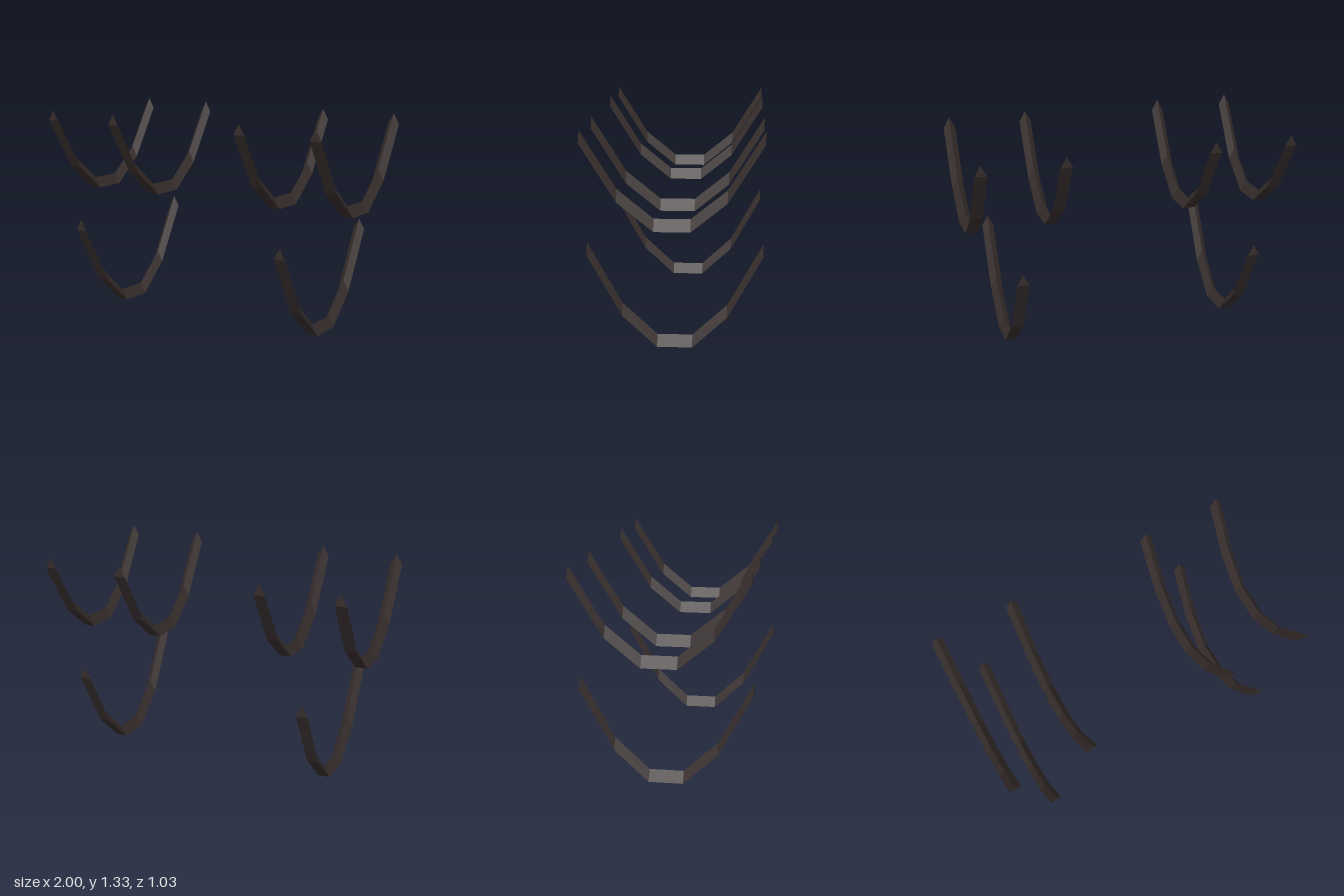
import * as THREE from 'three';

const HALF_WIDTH = 0.0375;
const HEIGHT = 0.068;

// Curved bar with a triangular section (flat underside, ridge on top),
// swept from front to back along [z, y] points of its underside.
function rungGeometry(halfPath) {
  const path = [...halfPath, ...halfPath.map(([z, y]) => [-z, y]).reverse()];
  const rings = path.map(([z, y]) => [
    [-HALF_WIDTH, y, z],
    [HALF_WIDTH, y, z],
    [0, y + HEIGHT, z],
  ]);
  const out = [];
  const tri = (a, b, c) => out.push(...a, ...b, ...c);

  for (let i = 0; i < rings.length - 1; i++) {
    const front = rings[i], back = rings[i + 1];
    for (let k = 0; k < 3; k++) {
      const n = (k + 1) % 3;
      tri(front[k], back[k], front[n]);
      tri(front[n], back[k], back[n]);
    }
  }
  // end caps
  const first = rings[0], last = rings[rings.length - 1];
  tri(first[0], first[1], first[2]);
  tri(last[2], last[1], last[0]);

  const geometry = new THREE.BufferGeometry();
  geometry.setAttribute('position', new THREE.Float32BufferAttribute(out, 3));
  geometry.computeVertexNormals();
  return geometry;
}

export function createModel() {
  const model = new THREE.Group();
  model.name = 'curvedBrackets';

  const darkBrown = new THREE.MeshStandardMaterial({ color: 0x352c2b });
  darkBrown.name = 'darkBrown';

  const upper = rungGeometry([[0.516, 1.262], [0.31, 0.932], [0.104, 0.765]]);
  const lower = rungGeometry([[0.516, 0.56], [0.31, 0.19], [0.104, 0]]);

  const add = (name, geometry, x) => {
    const mesh = new THREE.Mesh(geometry, darkBrown);
    mesh.name = name;
    mesh.position.x = x;
    model.add(mesh);
  };

  // two upper brackets and one lower bracket on each side
  add('rightOuterUpperBracket', upper, -0.9625);
  add('rightInnerUpperBracket', upper, -0.467);
  add('rightLowerBracket', lower, -0.747);
  add('leftInnerUpperBracket', upper, 0.461);
  add('leftOuterUpperBracket', upper, 0.9625);
  add('leftLowerBracket', lower, 0.741);

  return model;
}
